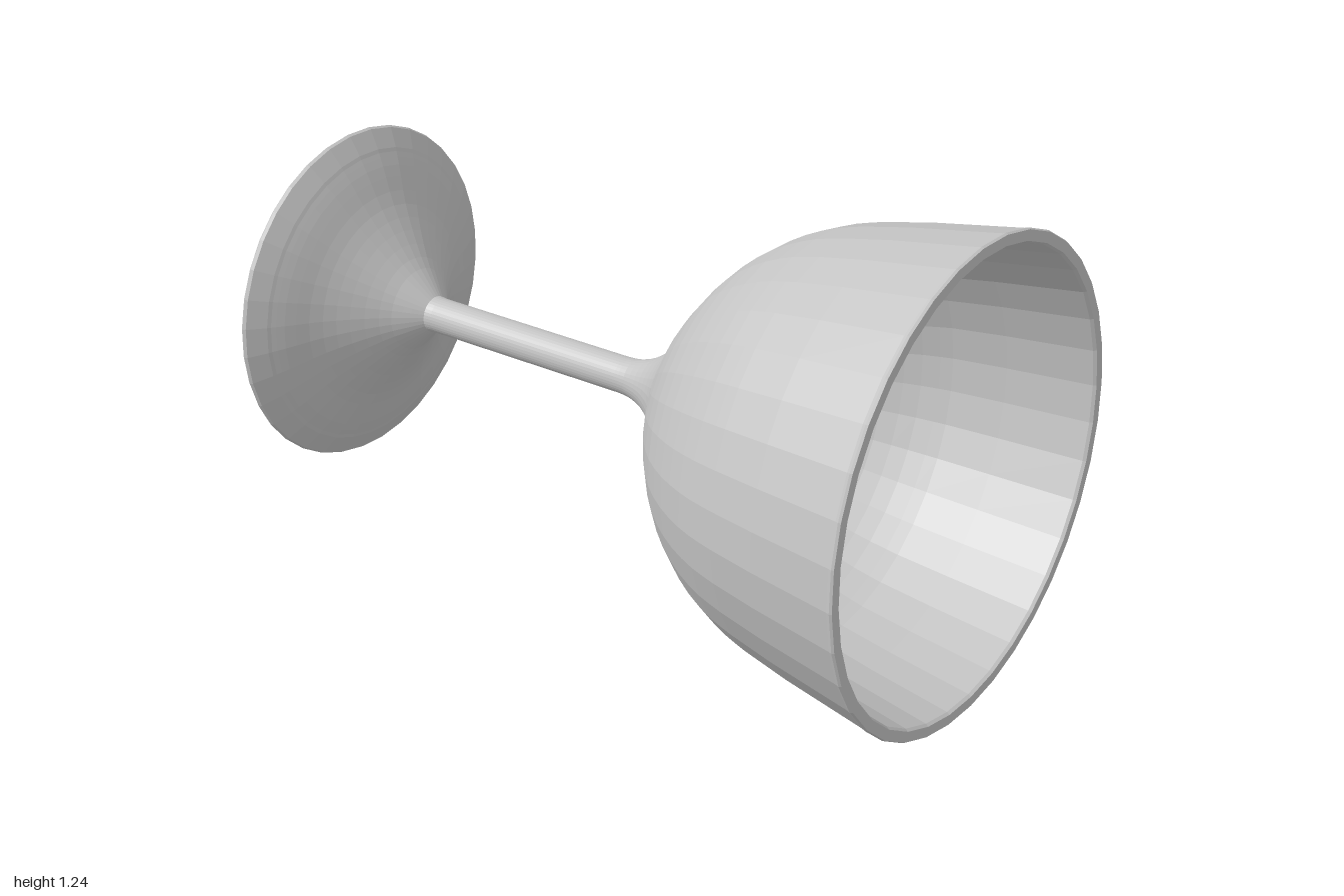
import * as THREE from 'three';

const SIDES = 36;
const glass = new THREE.MeshStandardMaterial({ color: 0xc4c4c4, flatShading: true });
glass.name = 'grey';

const points = (list) => list.map(([r, t]) => new THREE.Vector2(r, t));
// smooth profile through [radius, distance along axis] pairs
const curve = (list, n) => new THREE.SplineCurve(points(list)).getPoints(n);

function lathe(name, profile) {
  const mesh = new THREE.Mesh(new THREE.LatheGeometry(profile, SIDES), glass);
  mesh.name = name;
  return mesh;
}

export function createModel() {
  const goblet = new THREE.Group();
  goblet.name = 'goblet';

  // foot: recessed underside, bevelled rim and concave top
  goblet.add(lathe('foot', [
    ...points([[0, 0.025], [0.25, 0.025], [0.28, 0], [0.462, 0], [0.466, 0.006], [0.462, 0.014], [0.412, 0.042]]),
    ...curve([[0.402, 0.046], [0.36, 0.066], [0.28, 0.1], [0.205, 0.143], [0.13, 0.195], [0.08, 0.24], [0.05, 0.268]], 14),
  ]));

  // slim stem
  goblet.add(lathe('stem', points([[0.05, 0.268], [0.048, 0.29], [0.048, 0.91]])));

  // bowl outer wall, lip, inner wall and flat inner floor
  goblet.add(lathe('bowl', [
    ...curve([[0.048, 0.91], [0.052, 0.95], [0.07, 1.0], [0.105, 1.05], [0.15, 1.095], [0.21, 1.135], [0.295, 1.19],
      [0.4, 1.282], [0.475, 1.38], [0.525, 1.48], [0.552, 1.57]], 24),
    ...points([[0.58, 1.7], [0.62, 1.928], [0.623, 1.936], [0.62, 1.942], [0.593, 1.942], [0.588, 1.934]]),
    ...points([[0.552, 1.71]]),
    ...curve([[0.525, 1.57], [0.495, 1.48], [0.445, 1.38], [0.37, 1.285], [0.275, 1.2], [0.18, 1.14], [0.1, 1.108]], 14),
    ...points([[0.092, 1.102], [0, 1.102]]),
  ]));

  // lay the goblet on its side, resting on the lip
  goblet.quaternion.setFromUnitVectors(
    new THREE.Vector3(0, 1, 0), new THREE.Vector3(1.94, 0.087, 0.018).normalize());
  goblet.position.set(-0.977, 0.537, -0.019);

  const model = new THREE.Group();
  model.add(goblet);
  return model;
}
